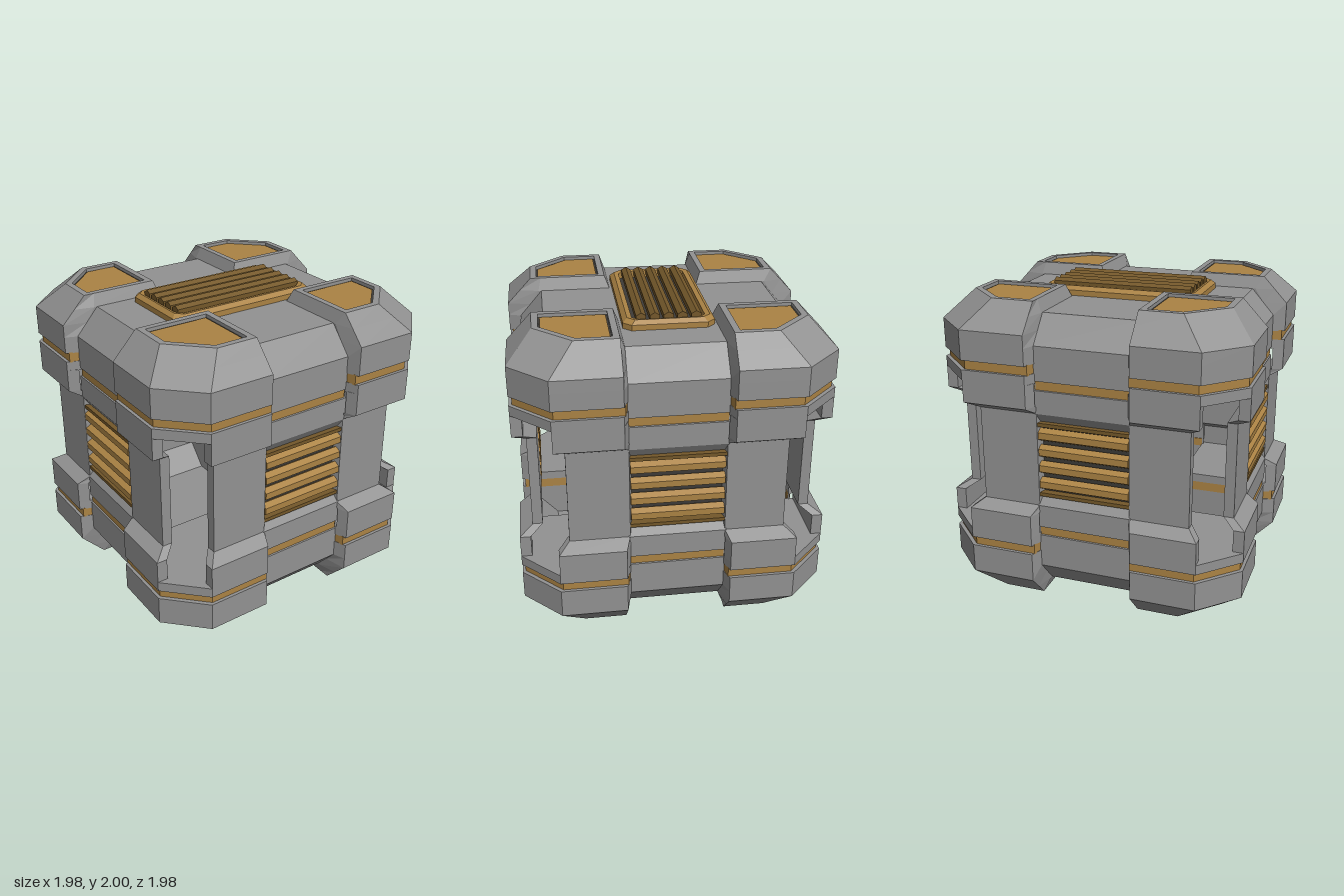
import * as THREE from 'three';

const mat = (name, color) => {
  const m = new THREE.MeshStandardMaterial({ color, flatShading: true });
  m.name = name;
  return m;
};

// Skin a list of rings (top to bottom), each an array of [x, y, z]
function loft(rings, capTop = true, capBottom = true) {
  const pos = [];
  const tri = (a, b, c) => pos.push(...a, ...b, ...c);
  const n = rings[0].length;
  for (let r = 0; r < rings.length - 1; r++) {
    for (let k = 0; k < n; k++) {
      const p = rings[r], q = rings[r + 1], j = (k + 1) % n;
      tri(p[k], p[j], q[j]);
      tri(p[k], q[j], q[k]);
    }
  }
  const first = rings[0], last = rings[rings.length - 1];
  for (let k = 1; k < n - 1; k++) {
    if (capTop) tri(first[0], first[k + 1], first[k]);
    if (capBottom) tri(last[0], last[k], last[k + 1]);
  }
  const g = new THREE.BufferGeometry();
  g.setAttribute('position', new THREE.Float32BufferAttribute(pos, 3));
  g.computeVertexNormals();
  return g;
}

// Corner section: inner side a, bevel from i to (m, b), chamfer start c
const cornerRing = (y, a, i, m, b, c) =>
  [[a, a], [i, a], [m, b], [m, c], [c, m], [b, m], [a, i]].map(([x, z]) => [x, y, z]);

// Rectangle with cut corners
const octRing = (y, w, d, c) =>
  [[c - w, -d], [w - c, -d], [w, c - d], [w, d - c], [w - c, d], [c - w, d], [-w, d - c], [-w, c - d]]
    .map(([x, z]) => [x, y, z]);

export function createModel() {
  const grey = mat('grey metal', 0x929292);
  const gold = mat('gold trim', 0xab8344);
  const bronze = mat('dark bronze', 0x74582a);
  const dark = mat('dark recess', 0x3c3a37);

  const model = new THREE.Group();
  model.name = 'crate';
  const body = new THREE.Group();
  body.name = 'crateBody';
  body.position.y = 1; // all parts are built around the crate's centre
  model.add(body);

  const add = (parent, name, geo, material, x = 0, y = 0, z = 0) => {
    const m = new THREE.Mesh(geo, material);
    m.name = name;
    m.position.set(x, y, z);
    parent.add(m);
    return m;
  };

  // Corner block parts
  const cornerCap = loft([
    cornerRing(0.968, 0.37, 0.5, 0.79, 0.37, 0.585),
    cornerRing(0.99, 0.37, 0.5, 0.79, 0.37, 0.585),
    cornerRing(0.99, 0.33, 0.76, 0.83, 0.33, 0.6),
    cornerRing(0.91, 0.30, 0.78, 0.905, 0.33, 0.67),
    cornerRing(0.82, 0.30, 0.84, 0.99, 0.33, 0.75),
    cornerRing(0.74, 0.30, 0.91, 0.99, 0.33, 0.75),
    cornerRing(0.63, 0.30, 0.91, 0.99, 0.33, 0.75),
  ], false, true);
  const cornerInlay = loft([
    cornerRing(0.972, 0.38, 0.5, 0.78, 0.38, 0.58),
    cornerRing(0.964, 0.38, 0.5, 0.78, 0.38, 0.58),
  ]);
  const inlayBed = loft([
    cornerRing(0.968, 0.37, 0.5, 0.79, 0.37, 0.585),
    cornerRing(0.96, 0.37, 0.5, 0.79, 0.37, 0.585),
  ]);
  const cornerStripe = loft([
    cornerRing(0.635, 0.30, 0.89, 0.97, 0.32, 0.735),
    cornerRing(0.565, 0.30, 0.89, 0.97, 0.32, 0.735),
  ]);
  const cornerLip = loft([
    cornerRing(0.57, 0.30, 0.91, 0.99, 0.33, 0.75),
    cornerRing(0.505, 0.30, 0.91, 0.99, 0.33, 0.75),
  ]);

  // Bent side post joining an upper and a lower corner
  const postRing = (y, inner, bevel, outer, back, front) =>
    [[inner, y, back], [outer, y, back], [outer, y, front], [bevel, y, front]];
  const post = loft([
    postRing(0.51, 0.30, 0.33, 0.75, 0.92, 0.99),
    postRing(0.36, 0.30, 0.33, 0.75, 0.92, 0.99),
    postRing(0.31, 0.28, 0.30, 0.68, 0.84, 0.905),
    postRing(-0.31, 0.28, 0.30, 0.68, 0.84, 0.905),
    postRing(-0.36, 0.30, 0.33, 0.75, 0.92, 0.99),
    postRing(-0.51, 0.30, 0.33, 0.75, 0.92, 0.99),
  ]);

  // Thin middle shell between corners: side wall with a groove, bevel, edge of the lid
  const shellShape = new THREE.Shape([
    [0.87, 0.25], [0.91, 0.31], [0.91, 0.46], [0.895, 0.465], [0.895, 0.515], [0.91, 0.52],
    [0.91, 0.74], [0.76, 0.91], [0.31, 0.91], [0.31, 0.86], [0.74, 0.86], [0.885, 0.70],
    [0.885, 0.33], [0.85, 0.27],
  ].map(([z, y]) => new THREE.Vector2(z, y)));
  const shell = new THREE.ExtrudeGeometry(shellShape, { depth: 0.62, bevelEnabled: false });
  shell.rotateY(-Math.PI / 2).translate(0.31, 0, 0);

  const louver = new THREE.CylinderGeometry(0.043, 0.043, 0.585, 6);
  louver.rotateZ(Math.PI / 2).rotateX(Math.PI / 6);

  // Lid vent parts
  const ventFrame = loft([
    octRing(0.915, 0.475, 0.225, 0.04),
    octRing(0.965, 0.475, 0.225, 0.04),
    octRing(0.97, 0.495, 0.255, 0.045),
    octRing(0.945, 0.52, 0.283, 0.05),
    octRing(0.905, 0.52, 0.283, 0.05),
  ], false, true);
  const ventBar = new THREE.CylinderGeometry(0.036, 0.036, 0.93, 6);
  ventBar.rotateZ(Math.PI / 2).rotateX(Math.PI / 6);

  // Upper and lower halves are the same, turned over about x
  for (const half of [0, 1]) {
    const end = new THREE.Group();
    end.name = half ? 'lowerHalf' : 'upperHalf';
    end.rotation.x = half * Math.PI;
    body.add(end);

    for (let q = 0; q < 4; q++) {
      const quarter = new THREE.Group();
      quarter.name = 'corner';
      quarter.rotation.y = q * Math.PI / 2;
      end.add(quarter);
      add(quarter, 'cornerCap', cornerCap, grey);
      add(quarter, 'inlayBed', inlayBed, dark);
      add(quarter, 'cornerInlay', cornerInlay, gold);
      add(quarter, 'cornerStripe', cornerStripe, gold);
      add(quarter, 'cornerLip', cornerLip, grey);
      add(quarter, 'middleShell', shell, grey);
      add(quarter, 'middleStripe', new THREE.BoxGeometry(0.6, 0.06, 0.022), gold, 0, 0.49, 0.89);
    }

    add(end, 'lidCentre', new THREE.BoxGeometry(0.62, 0.05, 0.62), grey, 0, 0.885, 0);
    add(end, 'ventFrame', ventFrame, gold);
    add(end, 'ventBed', new THREE.BoxGeometry(0.94, 0.008, 0.44), dark, 0, 0.92, 0);
    for (let i = -2; i <= 2; i++) add(end, 'ventBar', ventBar, bronze, 0, 0.964, i * 0.085);
  }

  // Four sides: posts and louvred vents
  for (let q = 0; q < 4; q++) {
    const side = new THREE.Group();
    side.name = 'side';
    side.rotation.y = q * Math.PI / 2;
    body.add(side);
    add(side, 'leftPost', post, grey);
    add(side, 'rightPost', post, grey).rotation.z = Math.PI;
    add(side, 'louverBacking', new THREE.BoxGeometry(0.6, 0.54, 0.012), dark, 0, 0, 0.846);
    for (const y of [-0.165, -0.055, 0.055, 0.165]) add(side, 'louver', louver, gold, 0, y, 0.87);
    for (const y of [-0.235, 0.235]) {
      add(side, 'louverEdge', new THREE.BoxGeometry(0.6, 0.024, 0.05), bronze, 0, y, 0.875);
    }
  }

  return model;
}
